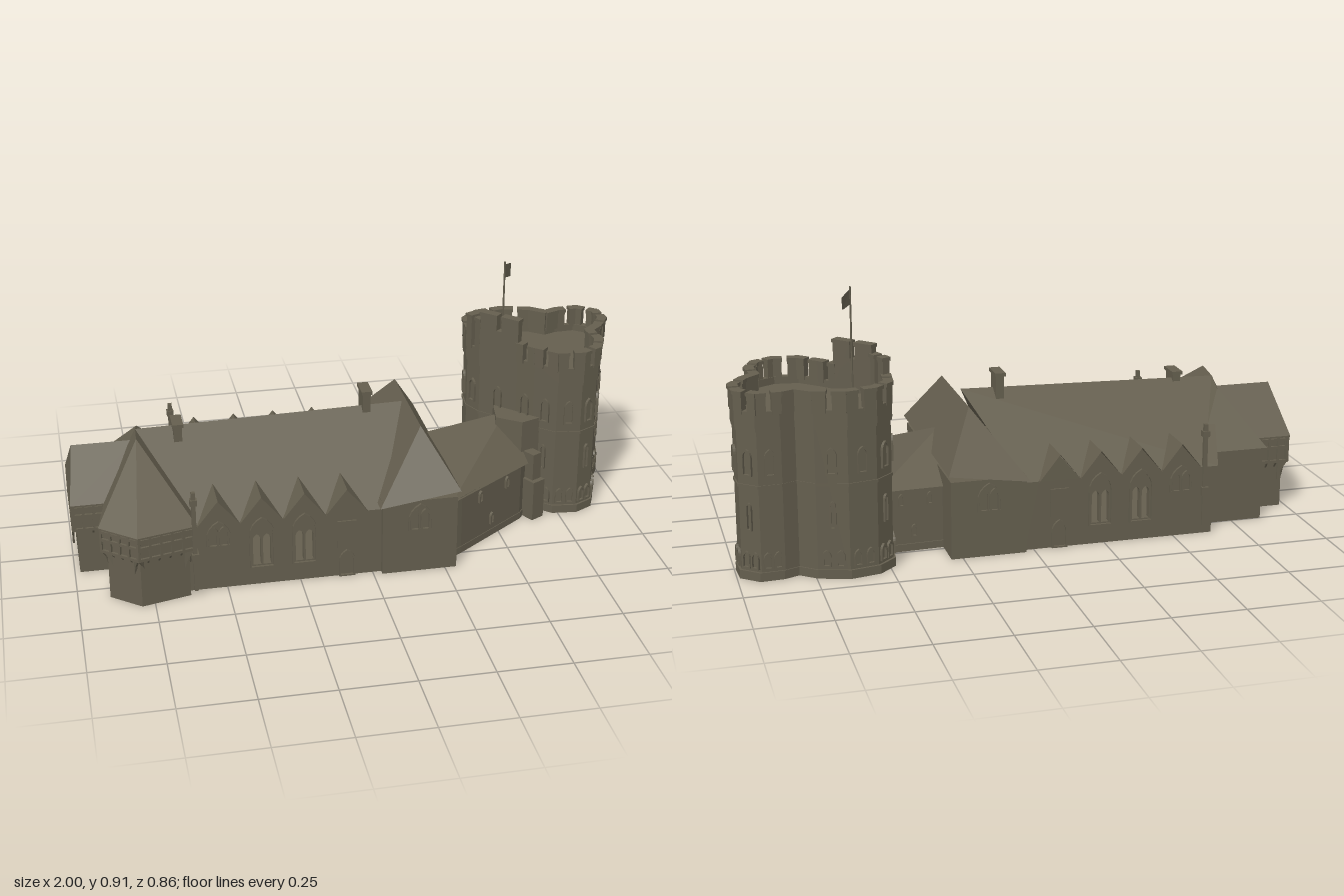
import * as THREE from 'three';

const stone = new THREE.MeshStandardMaterial({ color: 0x645e4e, flatShading: true, side: THREE.DoubleSide });
stone.name = 'weathered stone';

export function createModel() {
  const root = new THREE.Group();
  root.name = 'castleHall';

  const add = (name, geo, x = 0, y = 0, z = 0, ry = 0) => {
    const m = new THREE.Mesh(geo, stone);
    m.name = name;
    m.position.set(x, y, z);
    m.rotation.y = ry;
    root.add(m);
    return m;
  };
  const box = (name, w, h, d, x, y, z, ry = 0) => add(name, new THREE.BoxGeometry(w, h, d), x, y + h / 2, z, ry);

  // Upright prism over an [x, z] outline, optionally hollow
  const prism = (name, poly, y0, y1, hole) => {
    const s = new THREE.Shape(poly.map(([x, z]) => new THREE.Vector2(x, -z)));
    if (hole) s.holes.push(new THREE.Path(hole.map(([x, z]) => new THREE.Vector2(x, -z))));
    const g = new THREE.ExtrudeGeometry(s, { depth: y1 - y0, bevelEnabled: false });
    g.rotateX(-Math.PI / 2);
    return add(name, g, 0, y0, 0);
  };
  const rect = (x0, x1, z0, z1) => [[x0, z0], [x0, z1], [x1, z1], [x1, z0]];

  // Roof planes from corner loops
  const planes = (name, loops) => {
    const p = [];
    for (const l of loops)
      for (let i = 1; i < l.length - 1; i++) p.push(...l[0], ...l[i], ...l[i + 1]);
    const g = new THREE.BufferGeometry();
    g.setAttribute('position', new THREE.Float32BufferAttribute(p, 3));
    g.computeVertexNormals();
    return add(name, g);
  };

  const centre = poly => poly.reduce((a, p) => [a[0] + p[0] / poly.length, a[1] + p[1] / poly.length], [0, 0]);
  const scaled = (poly, k, c = centre(poly)) => poly.map(([x, z]) => [c[0] + (x - c[0]) * k, c[1] + (z - c[1]) * k]);

  // Visit edges with a point finder, length and outward heading
  const eachEdge = (poly, fn) => {
    const c = centre(poly);
    poly.forEach((a, i) => {
      const b = poly[(i + 1) % poly.length];
      const dx = b[0] - a[0], dz = b[1] - a[1], len = Math.hypot(dx, dz);
      let nx = -dz / len, nz = dx / len;
      if (nx * (a[0] + dx / 2 - c[0]) + nz * (a[1] + dz / 2 - c[1]) < 0) { nx = -nx; nz = -nz; }
      const at = (t, off = 0) => [a[0] + dx * t + nx * off, a[1] + dz * t + nz * off];
      fn(at, len, Math.atan2(nx, nz), i);
    });
  };

  // Pointed window outline and its raised surround
  const lancet = (Kind, x, y, w, h) => {
    const s = new Kind(), r = w / 2;
    s.moveTo(x - r, y);
    s.lineTo(x + r, y);
    s.lineTo(x + r, y + h - w * 0.8);
    s.quadraticCurveTo(x + r, y + h - w * 0.25, x, y + h);
    s.quadraticCurveTo(x - r, y + h - w * 0.25, x - r, y + h - w * 0.8);
    s.closePath();
    return s;
  };
  const surround = (name, w, h, x, y, z, ry) => {
    const s = lancet(THREE.Shape, 0, 0, w, h);
    s.holes.push(lancet(THREE.Path, 0, 0.005, w - 0.012, h - 0.013));
    const g = new THREE.ExtrudeGeometry(s, { depth: 0.009, bevelEnabled: false, curveSegments: 4 });
    add(name, g, x, y, z, ry);
  };

  // Great hall: zigzag gabled walls, pierced windows
  const bays = [-0.525, -0.38, -0.235, -0.09], half = 0.0725;
  const FZ = 0.32, BZ = -0.335, EAVE = 0.24, GABLE = 0.325;
  box('hallFloor', 0.66, 0.01, 0.64, -0.3, 0, -0.008);
  for (const [z, side] of [[FZ - 0.025, 1], [BZ, -1]]) {
    const s = new THREE.Shape();
    s.moveTo(-0.64, 0);
    s.lineTo(0.03, 0);
    s.lineTo(0.03, EAVE);
    for (const x of [...bays].reverse()) {
      s.lineTo(x + half, EAVE);
      s.lineTo(x, GABLE);
      s.lineTo(x - half, EAVE);
    }
    s.lineTo(-0.64, EAVE);
    for (const x of bays.slice(1, 3))
      for (const d of [-0.017, 0.017]) s.holes.push(lancet(THREE.Path, x + d, 0.075, 0.027, 0.115));
    add('hallWall', new THREE.ExtrudeGeometry(s, { depth: 0.025, bevelEnabled: false, curveSegments: 4 }), 0, 0, z);
    const zf = side > 0 ? FZ : BZ, ry = side > 0 ? 0 : Math.PI;
    bays.forEach((x, i) => {
      const tall = i === 1 || i === 2, y = tall ? 0.065 : 0.16;
      if (i < 3) surround('hallWindowSurround', 0.085, tall ? 0.19 : 0.095, x, y, zf, ry);
      if (i === 0) for (const d of [-0.018, 0.018]) surround('hallLancet', 0.034, 0.075, x + d, y, zf, ry);
      if (i === 3) {
        surround('hallDoor', 0.055, 0.1, x, 0, zf, ry);
        box('hallDoorHead', 0.065, 0.1, 0.012, x, 0.11, zf);
      }
      // Gable roof running back into the main slope
      const zt = zf * 0.58, zo = zf + side * 0.008;
      planes('hallGableRoof', [
        [[x - half, EAVE, zo], [x, GABLE + 0.006, zo], [x, GABLE + 0.006, zt]],
        [[x, GABLE + 0.006, zo], [x + half, EAVE, zo], [x, GABLE + 0.006, zt]]]);
    });
  }
  const r0 = [-0.76, 0.465, 0], r1 = [0.17, 0.485, 0];
  planes('hallRoof', [FZ, BZ].map(z => [[-0.66, EAVE, z], [0.03, EAVE, z], r1, r0]));

  // Cross wing at the tower end with hipped roof
  prism('crossWing', rect(0.03, 0.29, -0.355, 0.34), 0, 0.27);
  const ca = [0.02, 0.255, -0.37], cb = [0.3, 0.295, -0.37], cc = [0.3, 0.295, 0.35], cd = [0.02, 0.255, 0.35];
  const cr0 = [0.19, 0.48, -0.2], cr1 = [0.19, 0.48, 0.2];
  planes('crossWingRoof', [[ca, cb, cr0], [cb, cc, cr1, cr0], [cc, cd, cr1], [cd, ca, cr0, cr1], [ca, cb, cc, cd]]);
  for (const [z, ry] of [[0.34, 0], [-0.355, Math.PI]]) {
    surround('wingWindowSurround', 0.085, 0.1, 0.16, 0.16, z, ry);
    for (const d of [-0.018, 0.018]) surround('wingLancet', 0.034, 0.08, 0.16 + d, 0.16, z, ry);
  }

  // West range: three hipped blocks
  const backBlock = rect(-0.86, -0.63, -0.25, 0.05);
  prism('westBackBlock', backBlock, 0, 0.27);
  const ridgeB = [-0.75, 0.44, -0.08], apex = [-0.765, 0.475, 0.1], ridgeM = [-0.76, 0.465, 0];
  planes('westBackRoof', [
    [[-0.87, 0.265, -0.265], [-0.62, 0.265, -0.265], ridgeB],
    [[-0.62, 0.265, -0.265], [-0.62, 0.3, 0.05], ridgeM, ridgeB],
    [[-0.87, 0.265, 0.05], [-0.87, 0.265, -0.265], ridgeB, ridgeM]]);

  const bay = [[-0.92, 0.32], [-0.8, 0.42], [-0.6, 0.37], [-0.61, 0.1], [-0.87, 0.05]];
  const endBlock = rect(-1, -0.78, -0.17, 0.15);
  const timbered = (name, poly, y0) => {
    prism(name + 'Base', scaled(poly, 0.83), 0, 0.27);
    const upper = scaled(poly, 0.93);
    prism(name + 'Jetty', upper, y0, 0.268);
    prism(name + 'Eave', poly, 0.264, 0.27);
    eachEdge(upper, (at, len, ry) => {
      const n = Math.max(2, Math.round(len / 0.035));
      const [mx, mz] = at(0.5);
      for (const y of [y0, 0.222, 0.25]) box(name + 'Rail', len, 0.01, 0.016, mx, y, mz, ry);
      for (let i = 0; i <= n; i++) {
        const [x, z] = at(i / n);
        box(name + 'Stud', 0.008, 0.268 - y0, 0.016, x, y0, z, ry);
        // Curved bracket beneath the overhang
        const s = new THREE.Shape();
        s.moveTo(0, 0);
        s.lineTo(0, -0.065);
        s.lineTo(-0.03, -0.065);
        s.quadraticCurveTo(-0.025, -0.02, 0, 0);
        s.lineTo(-0.035, 0);
        s.lineTo(-0.035, -0.065);
        s.lineTo(-0.025, -0.065);
        s.quadraticCurveTo(-0.02, -0.015, 0, 0);
        const b = new THREE.Shape([new THREE.Vector2(0, 0), new THREE.Vector2(-0.035, 0),
          new THREE.Vector2(-0.035, -0.065), new THREE.Vector2(-0.022, -0.03)]);
        const g = new THREE.ExtrudeGeometry(b, { depth: 0.007, bevelEnabled: false });
        g.rotateY(-Math.PI / 2);
        add(name + 'Bracket', g, x, y0, z, ry);
      }
    });
  };
  timbered('frontBay', bay, 0.18);
  timbered('endBlock', endBlock, 0.17);
  planes('frontBayRoof', [...bay.slice(0, 4).map(([x, z], i) => {
    const [u, w] = bay[i + 1] || bay[0];
    return [[x, 0.27, z], [u, 0.27, w], apex];
  }), [[-0.87, 0.27, 0.05], [-0.92, 0.27, 0.32], apex], [[-0.61, 0.27, 0.1], ridgeM, apex], [[-0.87, 0.27, 0.05], ridgeM, apex]]);
  const e0 = [-0.98, 0.425, 0], e1 = [-0.76, 0.425, 0];
  planes('endBlockRoof', [
    [[-1, 0.27, 0.15], [-0.76, 0.27, 0.15], e1, e0],
    [[-0.76, 0.27, -0.17], [-1, 0.27, -0.17], e0, e1],
    [[-1, 0.27, -0.17], [-1, 0.27, 0.15], e0]]);

  // Chimneys and tall flues
  for (const [x, z, y, h] of [[-0.62, 0.02, 0.42, 0.075], [0.04, -0.01, 0.44, 0.105]]) {
    box('chimney', 0.028, h, 0.07, x, y, z);
    box('chimneyCap', 0.038, 0.012, 0.085, x, y + h - 0.012, z);
  }
  for (const z of [0.37, -0.335]) {
    box('flue', 0.014, 0.365, 0.014, -0.61, 0.03, z);
    box('flueHead', 0.024, 0.02, 0.024, -0.61, 0.35, z);
    box('flueShoulder', 0.024, 0.03, 0.05, -0.61, 0.14, z * 0.97);
  }

  // Link range between wing and tower
  const link = [[0.28, 0.28], [0.33, 0.25], [0.6, 0.05], [0.66, -0.03], [0.5, -0.24], [0.28, -0.23]];
  prism('linkRange', link, 0, 0.22);
  prism('linkPlinth', scaled(link, 1.02), 0, 0.025);
  const l0 = [0.25, 0.355, 0], l1 = [0.58, 0.355, -0.11];
  planes('linkRoof', [
    [[0.28, 0.215, 0.29], [0.63, 0.215, 0.04], l1, l0],
    [[0.52, 0.22, -0.25], [0.28, 0.22, -0.24], l0, l1],
    [[0.63, 0.215, 0.04], [0.66, 0.22, -0.04], l1]]);
  prism('linkUpperBlock', [[0.53, -0.05], [0.61, 0.01], [0.69, -0.02], [0.55, -0.17]], 0.2, 0.365);
  eachEdge(link, (at, len, ry, i) => {
    if (i !== 1 && i !== 4) return;
    for (const [t, y] of [[0.3, 0.16], [0.5, 0.05], [0.75, 0.16]]) {
      const [x, z] = at(t);
      surround('linkSlit', 0.022, 0.045, x, y, z, ry);
    }
  });
  box('buttress', 0.055, 0.15, 0.07, 0.65, 0, 0.03, 0.5);
  box('buttressUpper', 0.04, 0.1, 0.05, 0.65, 0.15, 0.02, 0.5);

  // Three-lobed tower
  const lobes = [[0.47, -0.27], [0.48, -0.36], [0.54, -0.415], [0.64, -0.435], [0.745, -0.405], [0.8, -0.36],
    [0.85, -0.38], [0.93, -0.385], [0.99, -0.335], [0.995, -0.26], [0.95, -0.19], [0.905, -0.15], [0.915, -0.06],
    [0.885, 0.01], [0.82, 0.045], [0.73, 0.035], [0.66, -0.03], [0.61, -0.085], [0.5, -0.2]];
  const mid = [0.73, -0.2];
  const body = scaled(lobes, 0.97, mid);
  prism('towerBody', body, 0, 0.545);
  prism('towerPlinth', lobes, 0, 0.03);
  for (const y of [0.315, 0.505]) prism('towerString', scaled(lobes, 0.985, mid), y, y + 0.01);
  prism('towerParapet', scaled(lobes, 0.99, mid), 0.515, 0.57, scaled(lobes, 0.89, mid));

  // Battlements, raised along the inner flank
  eachEdge(scaled(lobes, 0.95, mid), (at, len, ry, i) => {
    const top = i === 17 ? 0.715 : i === 18 ? 0.685 : 0.63;
    const gap = len > 0.07 ? 0.026 / len : 0;
    const spans = gap ? [[0, 0.5 - gap / 2], [0.5 + gap / 2, 1]] : [[0, 1]];
    for (const [a, b] of spans) {
      const [x, z] = at((a + b) / 2), w = (b - a) * len;
      box('merlon', w + 0.006, top - 0.56, 0.026, x, 0.56, z, ry);
      box('merlonCap', w + 0.01, 0.012, 0.034, x, top - 0.008, z, ry);
    }
    if (i === 17) {
      const [x, z] = at(0.5);
      box('raisedParapet', len, 0.1, 0.026, x, 0.56, z, ry);
    }
  });

  // Tower windows
  eachEdge(body, (at, len, ry, i) => {
    if (len < 0.07) return;
    const [x, z] = at(0.5);
    surround('towerUpperWindow', 0.036, 0.09, x, 0.355, z, ry);
    if (i % 2) surround('towerMiddleSlit', 0.022, 0.095, x, 0.17, z, ry);
    for (const t of [0.28, 0.72]) {
      const [u, w] = at(t);
      surround('towerLowWindow', 0.03, 0.058, u, 0.04, w, ry);
    }
  });

  // Flag and pole
  add('flagPole', new THREE.CylinderGeometry(0.003, 0.004, 0.37, 6), 0.577, 0.725, -0.17);
  planes('flag', [[[0.577, 0.9, -0.17], [0.577, 0.85, -0.17], [0.61, 0.84, -0.208], [0.615, 0.885, -0.222]]]);

  return root;
}
